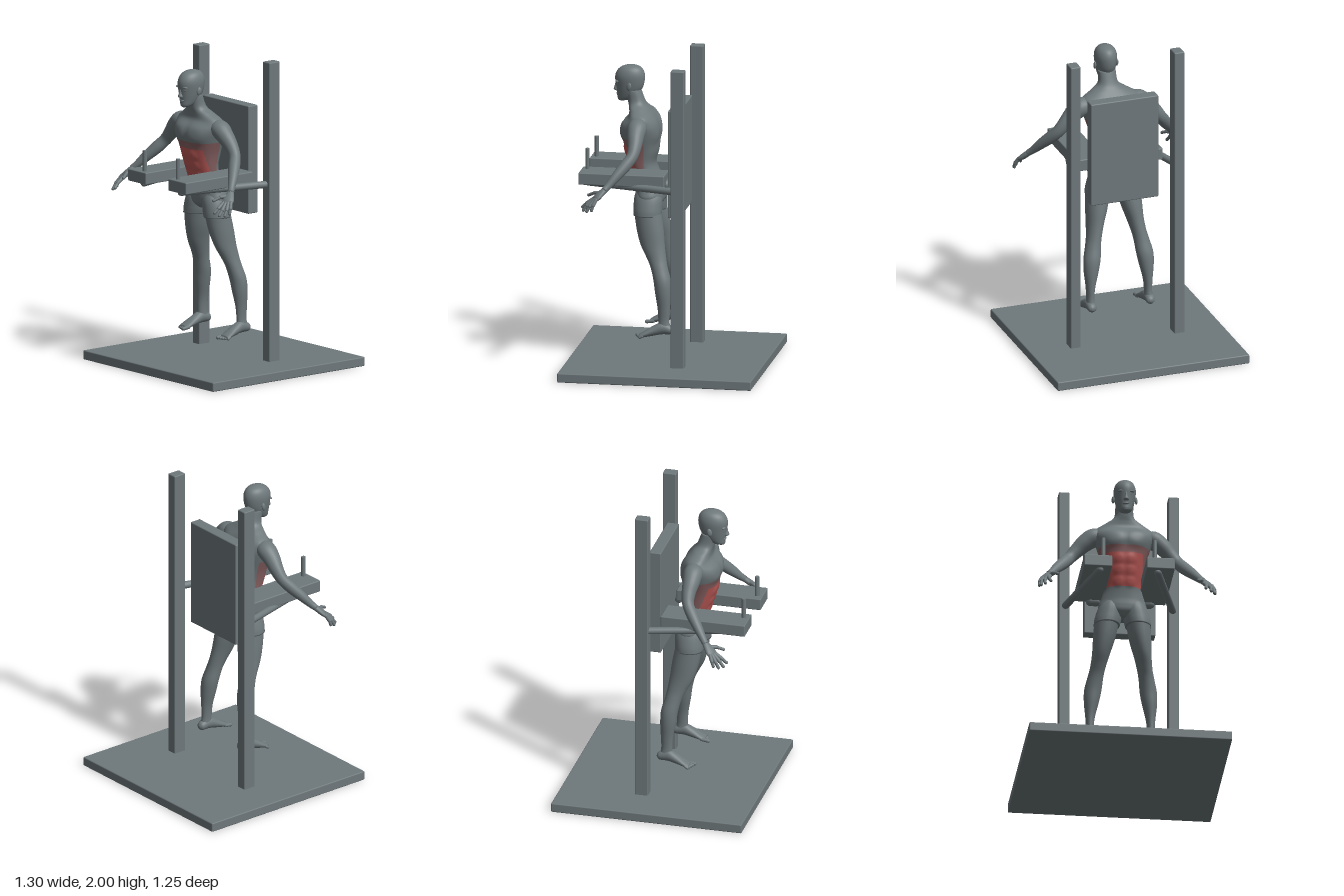
import * as THREE from 'three';
import { RoundedBoxGeometry } from 'three/addons/geometries/RoundedBoxGeometry.js';

const mat = (name, color) =>
  Object.assign(new THREE.MeshStandardMaterial({ color, side: THREE.DoubleSide }), { name });
const V = (x, y, z) => new THREE.Vector3(x, y, z);
const Y = V(0, 1, 0), Z = V(0, 0, 1);

// Smooth skin through rows [x, y, z, radiusU, radiusV]; axis fixes the ring planes,
// warp moves each point, pick(centre) chooses a material index for each face.
function loft(rows, { axis, ref = Z, steps = 6, sides = 24, power = 1, warp = () => {}, pick = () => 0 } = {}) {
  const path = new THREE.CatmullRomCurve3(rows.map(r => V(r[0], r[1], r[2])), false, 'catmullrom');
  const size = new THREE.CatmullRomCurve3(rows.map(r => V(r[3], r[4], 0)), false, 'catmullrom');
  const n = (rows.length - 1) * steps, pts = [], faces = [[], [], []];
  const bend = v => Math.sign(v) * Math.abs(v) ** power;
  for (let i = 0; i <= n; i++) {
    const c = path.getPoint(i / n), r = size.getPoint(i / n);
    const t = axis || path.getTangent(i / n);
    const u = ref.clone().cross(t).normalize(), v = t.clone().cross(u).normalize();
    for (let j = 0; j < sides; j++) {
      const a = j / sides * Math.PI * 2;
      const p = c.clone().addScaledVector(u, bend(Math.cos(a)) * r.x).addScaledVector(v, bend(Math.sin(a)) * r.y);
      warp(p);
      pts.push(p);
    }
  }
  const tri = (a, b, c) => {
    const mid = pts[a].clone().add(pts[b]).add(pts[c]).divideScalar(3);
    faces[pick(mid)].push(a, b, c);
  };
  for (let i = 0; i < n; i++) for (let j = 0; j < sides; j++) {
    const k = (j + 1) % sides, a = i * sides + j, b = i * sides + k;
    tri(a, b, b + sides);
    tri(a, b + sides, a + sides);
  }
  pts.push(path.getPoint(0), path.getPoint(1));
  for (let j = 0; j < sides; j++) {
    const k = (j + 1) % sides;
    tri(pts.length - 2, k, j);
    tri(pts.length - 1, n * sides + j, n * sides + k);
  }
  const g = new THREE.BufferGeometry().setFromPoints(pts);
  g.setIndex(faces.flat());
  let start = 0;
  faces.forEach((f, i) => { if (f.length) g.addGroup(start, f.length, i); start += f.length; });
  g.computeVertexNormals();
  return g;
}

// Muscles raised from the torso: [x, y, width, height, depth, front 1 or back -1]
const muscles = [
  [0.075, 1.535, 0.085, 0.065, 0.016, 1], [0.09, 1.54, 0.07, 0.08, 0.012, -1], [0.065, 1.11, 0.06, 0.07, 0.012, -1],
  ...[1.25, 1.32, 1.39].map(y => [0.037, y, 0.034, 0.033, 0.007, 1]),
];
const flex = p => {
  const z = p.z;
  for (const [x, y, w, h, depth, side] of muscles) {
    const d = ((Math.abs(p.x) - x) / w) ** 2 + ((p.y - y) / h) ** 2;
    const facing = THREE.MathUtils.clamp((z - 0.18) * side / 0.05, 0, 1);
    p.z += side * depth * facing * Math.exp(-d * d);
  }
};

export function createModel() {
  const grey = mat('slate grey', 0x6e787b);
  const red = mat('abdominal red', 0xb45653);
  const dullRed = mat('flank dull red', 0x855f60);
  const model = new THREE.Group();
  const frame = new THREE.Group(), figure = new THREE.Group();
  frame.name = 'exerciseFrame';
  figure.name = 'figure';
  model.add(frame, figure);

  const add = (parent, name, geo, m = grey) => {
    const mesh = new THREE.Mesh(geo, m);
    mesh.name = name;
    parent.add(mesh);
    return mesh;
  };
  const box = (name, x0, x1, y0, y1, z0, z1) =>
    add(frame, name, new RoundedBoxGeometry(x1 - x0, y1 - y0, z1 - z0, 2, 0.007))
      .position.set((x0 + x1) / 2, (y0 + y1) / 2, (z0 + z1) / 2);
  const rod = (parent, name, a, b, r) => {
    const d = b.clone().sub(a);
    const mesh = add(parent, name, new THREE.CapsuleGeometry(r, d.length(), 5, 16));
    mesh.position.copy(a).addScaledVector(d, 0.5);
    mesh.quaternion.setFromUnitVectors(Y, d.normalize());
  };
  const blob = (name, x, y, z, rx, ry, rz) => {
    const mesh = add(figure, name, new THREE.SphereGeometry(1, 24, 16).scale(rx, ry, rz));
    mesh.position.set(x, y, z);
    return mesh;
  };

  // Frame
  box('base', -0.648, 0.648, 0, 0.06, -0.625, 0.625);
  box('backPad', -0.228, 0.228, 1.0, 1.7, -0.09, -0.013);
  for (const s of [-1, 1]) {
    const cx = s * 0.35, px = s * 0.2;
    box('post', cx - 0.034, cx + 0.034, 0.05, 2, -0.145, -0.058);
    box('armPad', px - 0.09, px + 0.09, 1.21, 1.288, 0, 0.553);
    rod(frame, 'supportTube', V(s * 0.345, 1.205, -0.07), V(s * 0.185, 1.205, 0.505), 0.023);
    rod(frame, 'padBracket', V(s * 0.15, 1.212, 0.008), V(s * 0.19, 1.212, 0.008), 0.03);
    add(frame, 'handle', new THREE.CylinderGeometry(0.014, 0.014, 0.16, 20)).position.set(s * 0.165, 1.34, 0.515);
  }

  // Torso and neck, with the worked muscles coloured
  const pick = p => {
    if (p.y < 1.22 || p.y > 1.482 || p.z < 0.16) return 0;
    return p.y < 1.43 && Math.abs(p.x) < 0.118 && p.z > 0.2 ? 1 : 2;
  };
  add(figure, 'torso', loft([
    [0, 1.035, 0.137, 0.06, 0.055], [0, 1.065, 0.137, 0.125, 0.083], [0, 1.1, 0.137, 0.156, 0.091],
    [0, 1.15, 0.14, 0.143, 0.091], [0, 1.22, 0.157, 0.122, 0.088], [0, 1.31, 0.187, 0.125, 0.086],
    [0, 1.4, 0.191, 0.14, 0.108], [0, 1.5, 0.196, 0.172, 0.118], [0, 1.57, 0.195, 0.193, 0.108],
    [0, 1.62, 0.19, 0.184, 0.082], [0, 1.66, 0.205, 0.12, 0.066], [0, 1.7, 0.225, 0.065, 0.056],
    [0, 1.78, 0.25, 0.056, 0.05],
  ], { axis: Y, steps: 9, sides: 72, power: 0.88, warp: flex, pick }), [grey, red, dullRed]);

  // Head
  add(figure, 'head', loft([
    [0, 1.703, 0.322, 0.012, 0.012], [0, 1.717, 0.306, 0.035, 0.043], [0, 1.75, 0.285, 0.051, 0.067],
    [0, 1.8, 0.272, 0.064, 0.087], [0, 1.86, 0.27, 0.071, 0.096], [0, 1.9, 0.267, 0.064, 0.085],
    [0, 1.925, 0.264, 0.047, 0.061], [0, 1.937, 0.262, 0.022, 0.028], [0, 1.94, 0.262, 0.001, 0.001],
  ], { axis: Y, sides: 32 }));
  add(figure, 'nose', loft([
    [0, 1.768, 0.35, 0.013, 0.012], [0, 1.777, 0.356, 0.017, 0.02],
    [0, 1.8, 0.355, 0.01, 0.014], [0, 1.83, 0.353, 0.007, 0.01],
  ], { axis: Y, sides: 16 }));
  blob('upperLip', 0, 1.75, 0.346, 0.022, 0.006, 0.012);
  blob('lowerLip', 0, 1.741, 0.342, 0.019, 0.006, 0.012);
  blob('chin', 0, 1.718, 0.332, 0.022, 0.015, 0.017);
  for (const s of [-1, 1]) {
    blob('brow', s * 0.028, 1.836, 0.346, 0.026, 0.008, 0.014);
    blob('eye', s * 0.028, 1.817, 0.342, 0.012, 0.006, 0.009);
    blob('ear', s * 0.073, 1.81, 0.265, 0.009, 0.026, 0.016).rotation.set(-0.2, s * -0.3, 0);
  }

  // Limbs
  for (const s of [-1, 1]) {
    const limb = (name, rows, opts) => add(figure, name, loft(rows.map(([x, ...r]) => [s * x, ...r]), opts));
    limb('shortsLeg', [
      [0.072, 1.17, 0.138, 0.045, 0.065], [0.08, 1.1, 0.137, 0.076, 0.09],
      [0.093, 1.03, 0.139, 0.085, 0.092], [0.101, 0.985, 0.14, 0.083, 0.09],
    ], { axis: Y });
    limb('leg', [
      [0.1, 1.02, 0.14, 0.079, 0.086], [0.116, 0.9, 0.12, 0.07, 0.087], [0.134, 0.8, 0.1, 0.056, 0.078],
      [0.15, 0.72, 0.073, 0.049, 0.063], [0.163, 0.66, 0.053, 0.05, 0.055], [0.177, 0.58, 0.032, 0.055, 0.055],
      [0.186, 0.5, 0.024, 0.048, 0.051], [0.193, 0.4, 0.018, 0.031, 0.04],
      [0.195, 0.32, 0.017, 0.025, 0.036], [0.197, 0.26, 0.012, 0.03, 0.042],
    ], { axis: Y });
    limb('foot', [
      [0.197, 0.262, -0.046, 0.01, 0.01], [0.197, 0.264, -0.028, 0.028, 0.028],
      [0.198, 0.272, 0.03, 0.033, 0.039], [0.2, 0.252, 0.09, 0.038, 0.031],
      [0.203, 0.232, 0.14, 0.043, 0.02], [0.205, 0.221, 0.172, 0.038, 0.012],
    ], { axis: Z, ref: Y });
    for (let i = 0; i < 5; i++) {
      const r = i ? 0.009 : 0.012, x = 0.171 + i * 0.0175, end = 0.193 - i * 0.007;
      rod(figure, 'toe', V(s * x, 0.224, 0.15), V(s * x, 0.206 + r, end), r);
    }
    limb('arm', [
      [0.11, 1.59, 0.19, 0.025, 0.035], [0.185, 1.575, 0.19, 0.058, 0.062], [0.245, 1.532, 0.19, 0.056, 0.055],
      [0.3, 1.475, 0.187, 0.047, 0.044], [0.345, 1.42, 0.197, 0.04, 0.037], [0.385, 1.367, 0.235, 0.04, 0.037],
      [0.43, 1.31, 0.282, 0.034, 0.031], [0.47, 1.255, 0.327, 0.024, 0.023], [0.492, 1.23, 0.35, 0.021, 0.02],
    ]);
    limb('palm', [
      [0.484, 1.238, 0.342, 0.02, 0.018], [0.497, 1.218, 0.362, 0.028, 0.019],
      [0.514, 1.19, 0.39, 0.038, 0.018], [0.524, 1.172, 0.408, 0.035, 0.012],
    ], { ref: V(s * -0.315, -0.76, -0.535) });
    // Each finger: base, knuckle, tip
    const fingers = [
      [[0.543, 1.18, 0.392], [0.558, 1.146, 0.408], [0.561, 1.115, 0.418]],
      [[0.531, 1.177, 0.404], [0.549, 1.138, 0.432], [0.553, 1.105, 0.45]],
      [[0.516, 1.176, 0.412], [0.53, 1.138, 0.452], [0.53, 1.106, 0.476]],
      [[0.501, 1.178, 0.416], [0.502, 1.146, 0.46], [0.495, 1.119, 0.487]],
      [[0.498, 1.215, 0.365], [0.47, 1.208, 0.415], [0.449, 1.187, 0.456]],
    ];
    for (const f of fingers) {
      const [a, b, c] = f.map(p => V(s * p[0], p[1], p[2]));
      rod(figure, 'finger', a, b, 0.012);
      rod(figure, 'fingertip', b, c, 0.01);
    }
  }
  return model;
}
